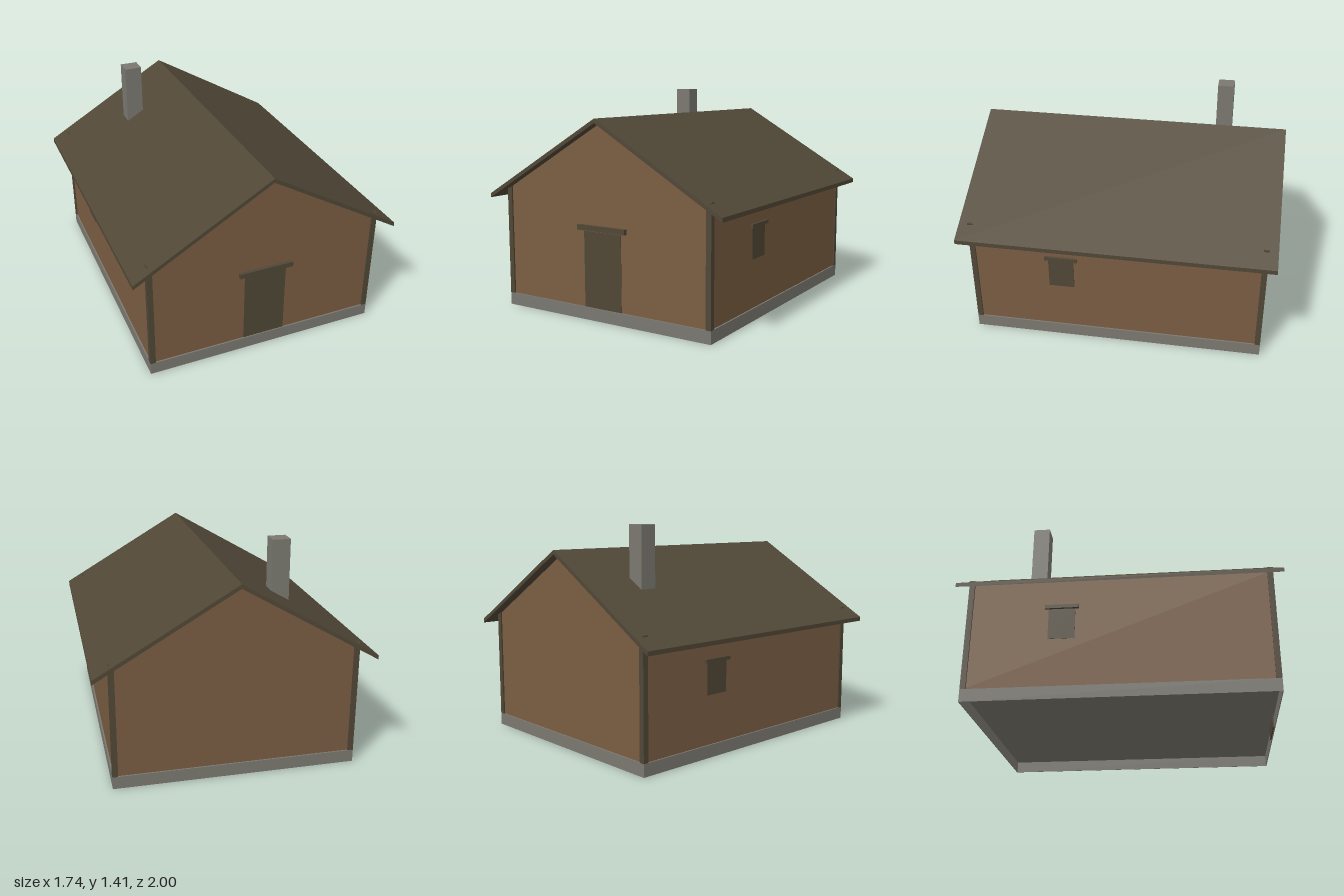
import * as THREE from 'three';

const material = (name, color) => {
  const m = new THREE.MeshStandardMaterial({ color });
  m.name = name;
  return m;
};

export function createModel() {
  const house = new THREE.Group();
  house.name = 'house';
  const clay = material('brown wall', 0x7a5d42);
  const timber = material('dark timber', 0x504736);
  const stone = material('grey stone', 0x7a7870);

  const add = (name, geometry, mat) => {
    const mesh = new THREE.Mesh(geometry, mat);
    mesh.name = name;
    house.add(mesh);
    return mesh;
  };
  // Box given by its lower and upper limits on each axis
  const box = (name, mat, [x0, x1], [y0, y1], [z0, z1]) =>
    add(name, new THREE.BoxGeometry(x1 - x0, y1 - y0, z1 - z0), mat)
      .position.set((x0 + x1) / 2, (y0 + y1) / 2, (z0 + z1) / 2);
  const outline = (points) => new THREE.Shape(points.map(([x, y]) => new THREE.Vector2(x, y)));
  // Cross-section in x and y, extruded along z about the centre
  const extrudeZ = (points, half) =>
    new THREE.ExtrudeGeometry(outline(points), { depth: 2 * half, bevelEnabled: false })
      .translate(0, 0, -half);

  // Foundation: open underneath, thin skirt below a floor slab
  const X = 0.77, Z = 0.945, skirt = 0.004, baseTop = 0.08;
  for (const s of [-1, 1]) {
    const span = (limit) => (s > 0 ? [limit - skirt, limit] : [-limit, skirt - limit]);
    box('foundationSide', stone, span(X), [0, baseTop], [-Z, Z]);
    box('foundationEnd', stone, [skirt - X, X - skirt], [0, baseTop], span(Z));
  }
  box('floor', stone, [skirt - X, X - skirt], [baseTop - 0.004, baseTop], [skirt - Z, Z - skirt]);

  // Walls with both gables
  add('walls', extrudeZ([[-0.76, baseTop], [0.76, baseTop], [0.76, 0.79], [0, 1.235], [-0.76, 0.79]], 0.935), clay);

  // Roof: one folded slab with overhanging eaves
  add('roof', extrudeZ([[0, 1.255], [-0.87, 0.745], [-0.87, 0.718], [0, 1.228], [0.87, 0.718], [0.87, 0.745]], 1), timber);

  // Corner posts, whose tops just break through the roof
  for (const sx of [-1, 1]) for (const sz of [-1, 1]) {
    add('cornerPost', new THREE.BoxGeometry(0.035, 0.732, 0.035), timber)
      .position.set(sx * 0.7525, 0.446, sz * 0.9275);
  }

  // Door, running down behind the foundation skirt
  box('door', timber, [-0.14, 0.14], [0, 0.56], [0.93, 0.938]);
  box('doorLintel', timber, [-0.18, 0.18], [0.567, 0.6], [0.93, 0.957]);

  // One window on each long wall, turned half way round from each other
  for (const s of [-1, 1]) {
    add('window', new THREE.BoxGeometry(0.008, 0.2, 0.165), timber)
      .position.set(s * 0.759, 0.49, s * 0.35);
    add('windowLintel', new THREE.BoxGeometry(0.025, 0.023, 0.21), timber)
      .position.set(s * 0.764, 0.602, s * 0.35);
  }

  box('chimney', stone, [-0.405, -0.29], [0.98, 1.41], [-0.64, -0.53]);
  return house;
}
